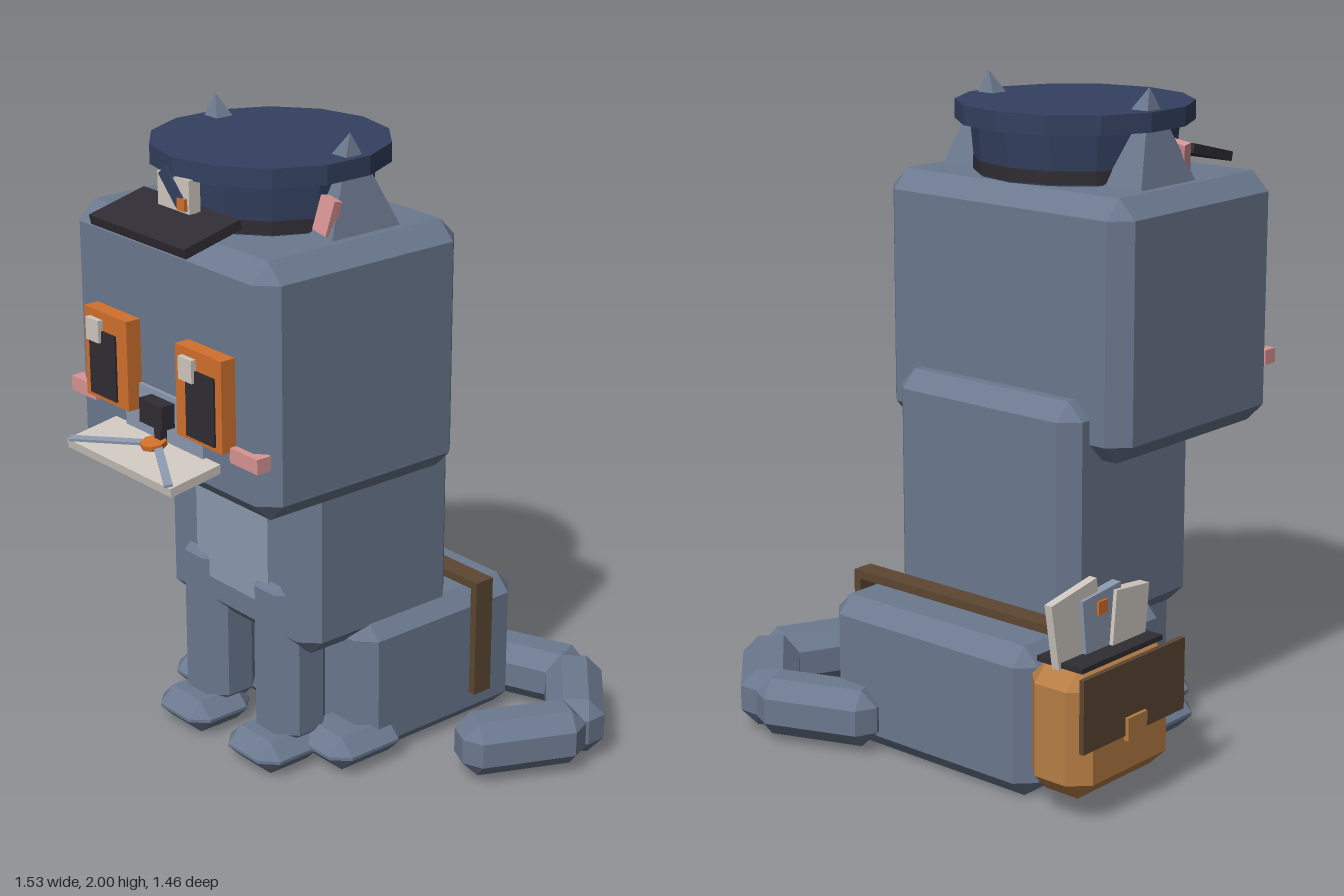
import * as THREE from 'three';
import { ConvexGeometry } from 'three/addons/geometries/ConvexGeometry.js';

const mat = (name, color, flatShading = true) => {
  const m = new THREE.MeshStandardMaterial({ color, flatShading });
  m.name = name;
  return m;
};

export function createModel() {
  const fur = mat('greyFur', 0x6b788e);
  const paleFur = mat('paleFur', 0x8c99af);
  const navy = mat('navyCloth', 0x33405f);
  const dark = mat('charcoal', 0x2f2d33);
  const orange = mat('orange', 0xd0702c);
  const pink = mat('pink', 0xd99494);
  const cream = mat('paperCream', 0xcfc8c0);
  const tan = mat('tanLeather', 0xb67d44);
  const brown = mat('brownLeather', 0x5c4631);

  const model = new THREE.Group();
  const cat = new THREE.Group(); // mirror plane of the cat is x = 0 in here
  cat.name = 'cat';
  cat.position.x = -0.105;
  model.add(cat);

  const add = (parent, name, geometry, material, pos, rot = [0, 0, 0]) => {
    const m = new THREE.Mesh(geometry, material);
    m.name = name;
    m.position.set(...pos);
    m.rotation.set(...rot);
    parent.add(m);
    return m;
  };
  const box = (parent, name, material, size, pos, rot) =>
    add(parent, name, new THREE.BoxGeometry(...size), material, pos, rot);

  // Box with every edge cut by a bevel b
  const chamferGeo = (w, h, d, b) => {
    const half = [w / 2, h / 2, d / 2], pts = [];
    for (const sx of [-1, 1]) for (const sy of [-1, 1]) for (const sz of [-1, 1])
      for (let axis = 0; axis < 3; axis++) {
        const c = half.map((v, i) => (i === axis ? v : v - b));
        pts.push(new THREE.Vector3(c[0] * sx, c[1] * sy, c[2] * sz));
      }
    return new ConvexGeometry(pts);
  };
  const block = (parent, name, material, size, b, pos, rot) =>
    add(parent, name, chamferGeo(...size, b), material, pos, rot);

  // Body and head
  block(cat, 'haunches', fur, [0.8, 0.46, 0.655], 0.053, [0, 0.235, -0.2175]);
  block(cat, 'torso', fur, [0.71, 0.73, 0.6], 0.053, [0, 0.765, 0]);
  block(cat, 'head', fur, [0.935, 0.775, 0.76], 0.058, [0, 1.333, 0.165]);
  box(cat, 'chestBib', paleFur, [0.35, 0.44, 0.03], [0, 0.75, 0.295]);
  box(cat, 'muzzle', paleFur, [0.375, 0.18, 0.02], [0, 1.143, 0.546]);

  // Paired parts
  for (const s of [-1, 1]) {
    block(cat, 'frontLeg', fur, [0.2, 0.58, 0.2], 0.053, [s * 0.175, 0.35, 0.224]);
    block(cat, 'frontPaw', fur, [0.245, 0.11, 0.245], 0.05, [s * 0.175, 0.06, 0.293]);
    block(cat, 'hindPaw', fur, [0.245, 0.11, 0.29], 0.05, [s * 0.313, 0.07, 0.1]);

    const ear = [[0.255, 0.235], [0.255, -0.027], [0.385, 0.235], [0.385, -0.027], [0.12, 0.235], [0.12, -0.027]]
      .slice(2).map(([x, z]) => new THREE.Vector3(s * x, 1.715, z));
    ear.push(new THREE.Vector3(s * 0.31, 2.0, 0.103));
    add(cat, 'ear', new ConvexGeometry(ear), fur, [0, 0, 0]);
    box(cat, 'innerEar', pink, [0.062, 0.105, 0.03], [s * 0.338, 1.782, 0.212], [-0.2, 0, s * -0.15]);

    box(cat, 'eye', orange, [0.212, 0.28, 0.06], [s * 0.224, 1.29, 0.565]);
    box(cat, 'pupil', dark, [0.13, 0.207, 0.02], [s * 0.236, 1.268, 0.592]);
    box(cat, 'cheek', pink, [0.125, 0.046, 0.05], [s * 0.39, 1.142, 0.542]);
  }
  for (const x of [-0.27, 0.183])
    box(cat, 'eyeHighlight', cream, [0.063, 0.07, 0.02], [x, 1.37, 0.602]);

  box(cat, 'nose', dark, [0.11, 0.075, 0.055], [0, 1.178, 0.575]);
  box(cat, 'mouthLine', dark, [0.03, 0.07, 0.04], [0, 1.11, 0.56]);

  // Letter held in the mouth
  const letter = new THREE.Group();
  letter.name = 'mouthLetter';
  letter.position.set(0, 1.058, 0.625);
  letter.rotation.x = 0.15;
  cat.add(letter);
  box(letter, 'envelope', cream, [0.51, 0.028, 0.2], [0, 0, 0]);
  for (const s of [-1, 1])
    box(letter, 'envelopeFold', paleFur, [0.28, 0.009, 0.025], [s * 0.122, 0.018, 0.025], [0, s * -0.53, 0]);
  add(letter, 'seal', new THREE.CylinderGeometry(0.04, 0.04, 0.016, 8), orange, [0, 0.022, -0.035]);

  // Cap
  const cap = new THREE.Group();
  cap.name = 'cap';
  cap.position.z = 0.142;
  cat.add(cap);
  add(cap, 'capTop', new THREE.CylinderGeometry(0.36, 0.36, 0.058, 14), navy, [0, 1.905, 0]);
  add(cap, 'capSide', new THREE.CylinderGeometry(0.315, 0.3, 0.16, 14), navy, [0, 1.8, 0]);
  add(cap, 'capBand', new THREE.CylinderGeometry(0.306, 0.306, 0.04, 14), dark, [0, 1.745, 0]);
  box(cap, 'visor', dark, [0.453, 0.03, 0.205], [0, 1.75, 0.392], [0.24, 0, 0]);
  box(cap, 'badge', cream, [0.148, 0.1, 0.04], [0, 1.83, 0.338]);
  box(cap, 'badgeBar', navy, [0.125, 0.04, 0.012], [0.0, 1.845, 0.361], [0, 0, -0.8]);
  box(cap, 'badgeDot', orange, [0.036, 0.036, 0.014], [0.047, 1.806, 0.362]);

  // Tail of three bevelled links: x, z and heading
  for (const [x, z, dx, dz] of [
    [0.278, -0.592, 0.934, -0.357],
    [0.568, -0.528, 0.714, 0.7],
    [0.619, -0.239, -0.424, 0.905],
  ]) block(model, 'tailLink', fur, [0.4, 0.18, 0.18], 0.05, [x, 0.115, z], [0, Math.atan2(-dz, dx), 0]);

  // Strap over the back
  box(model, 'strapTop', brown, [0.84, 0.026, 0.07], [-0.1, 0.488, -0.363]);
  box(model, 'strapSide', brown, [0.026, 0.39, 0.07], [0.307, 0.305, -0.363]);

  // Satchel with its flap, opening and letters
  const bag = new THREE.Group();
  bag.name = 'satchel';
  bag.position.set(-0.626, 0, -0.363);
  model.add(bag);
  block(bag, 'bagBody', tan, [0.224, 0.39, 0.445], 0.055, [0, 0.27, 0]);
  box(bag, 'bagFlap', brown, [0.016, 0.22, 0.46], [-0.12, 0.355, 0]);
  box(bag, 'clasp', tan, [0.016, 0.07, 0.086], [-0.131, 0.265, 0]);
  box(bag, 'bagOpening', dark, [0.165, 0.016, 0.365], [0, 0.467, 0]);
  box(bag, 'backLetter', cream, [0.026, 0.2, 0.2], [0.006, 0.57, -0.11], [-0.17, 0, 0]);
  box(bag, 'middleLetter', paleFur, [0.03, 0.18, 0.17], [-0.004, 0.555, -0.01], [-0.1, 0, 0]);
  box(bag, 'frontLetter', cream, [0.035, 0.17, 0.15], [-0.014, 0.545, 0.1], [0.1, 0, 0]);
  box(bag, 'letterSeal', orange, [0.008, 0.04, 0.04], [-0.022, 0.6, -0.02]);

  return model;
}
